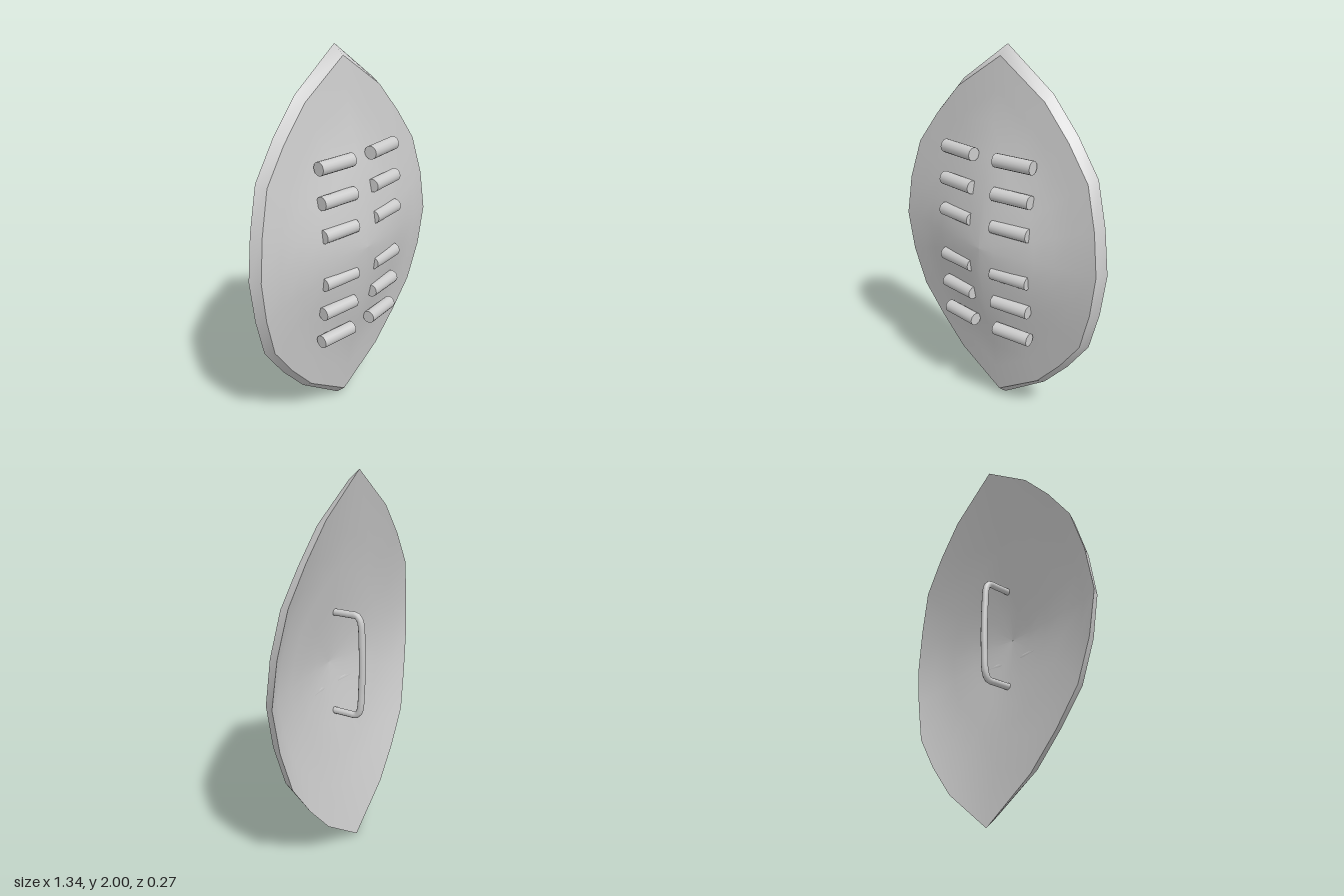
import * as THREE from 'three';

const material = new THREE.MeshStandardMaterial({ color: 0xcccccc });

// Quarter outlines from the top tip to the side: [x, height from centre, z]
const RIM = [[0, 1, -0.092], [0.285, 0.8, -0.086], [0.44, 0.63, -0.077],
  [0.57, 0.45, -0.066], [0.635, 0.23, -0.046], [0.67, 0, -0.035]];
const CREASE = [[0, 0.95, -0.036], [0.275, 0.77, -0.03], [0.425, 0.605, -0.022],
  [0.55, 0.435, -0.01], [0.612, 0.22, 0.01], [0.642, 0, 0.02]];
const INNER = [[0, 0.7, -0.03], [0.23, 0.6, -0.025], [0.36, 0.49, -0.02],
  [0.48, 0.34, -0.008], [0.54, 0.17, 0.002], [0.57, 0, 0.008]];

// Mirrors a quarter outline into a closed loop, counter-clockwise from +x
function fullLoop(quarter) {
  const up = [...quarter].reverse();
  const half = [...up, ...quarter.slice(1).map(([x, y, z]) => [-x, y, z])];
  const lower = half.slice(1, -1).reverse().map(([x, y, z]) => [x, -y, z]);
  return [...half, ...lower];
}

// Shrinks a loop towards the centre, raising it by fraction f of the way to the rim
function scaledLoop(loop, s, f, centreZ) {
  return loop.map(([x, y, z]) => [x * s, y * s, centreZ + (z - centreZ) * f]);
}

// Skins a series of loops into one smooth surface
function loft(loops) {
  const n = loops[0].length;
  const positions = loops.flat().flatMap(([x, y, z]) => [x, y + 1, z]);
  const index = [];
  for (let r = 0; r < loops.length - 1; r++) {
    for (let i = 0; i < n; i++) {
      const j = (i + 1) % n;
      const a = r * n + i, b = r * n + j, c = a + n, d = b + n;
      index.push(a, c, d, a, d, b);
    }
  }
  const geometry = new THREE.BufferGeometry();
  geometry.setAttribute('position', new THREE.Float32BufferAttribute(positions, 3));
  geometry.setIndex(index);
  geometry.computeVertexNormals();
  return geometry;
}

function addMesh(parent, name, geometry) {
  const mesh = new THREE.Mesh(geometry, material);
  mesh.name = name;
  parent.add(mesh);
  return mesh;
}

export function createModel() {
  const group = new THREE.Group();
  group.name = 'shield';

  const rim = fullLoop(RIM), crease = fullLoop(CREASE), inner = fullLoop(INNER);

  // Domed front face
  const frontSteps = [[0.001, 0], [0.15, 0.06], [0.33, 0.23], [0.5, 0.44], [0.66, 0.7], [0.83, 0.86], [1, 1]];
  addMesh(group, 'frontFace', loft(frontSteps.map(([s, f]) => scaledLoop(crease, s, f, 0.13))));

  // Bevelled edge running from the front face back to the sharp rim
  addMesh(group, 'rimBevel', loft([crease, rim]));

  // Hollow back, sloping in from the rim
  const backSteps = [[1, 1], [0.75, 0.72], [0.5, 0.42], [0.25, 0.15], [0.001, 0]];
  addMesh(group, 'hollowBack', loft([rim, ...backSteps.map(([s, f]) => scaledLoop(inner, s, f, 0.085))]));

  // Two columns of short rounded bars, mirrored in x and y
  const bars = new THREE.Group();
  bars.name = 'frontBars';
  group.add(bars);
  const barGeometry = new THREE.CylinderGeometry(0.035, 0.035, 0.215, 16).rotateZ(Math.PI / 2);
  for (const [offset, z] of [[0.13, 0.094], [0.3, 0.085], [0.47, 0.07]]) {
    for (const sx of [-1, 1]) {
      for (const sy of [-1, 1]) {
        const bar = addMesh(bars, 'bar', barGeometry);
        bar.position.set(sx * 0.178, 1.005 + sy * offset, z);
        bar.rotation.y = sx * 0.1;
      }
    }
  }

  // Bowed grip on the back
  const path = new THREE.CatmullRomCurve3([
    [1.28, 0.08], [1.28, -0.04], [1.278, -0.085], [1.25, -0.105], [1.13, -0.115], [1.005, -0.118],
    [0.88, -0.115], [0.76, -0.105], [0.732, -0.085], [0.73, -0.04], [0.73, 0.08],
  ].map(([y, z]) => new THREE.Vector3(0, y, z)));
  addMesh(group, 'handle', new THREE.TubeGeometry(path, 48, 0.018, 10));

  return group;
}
